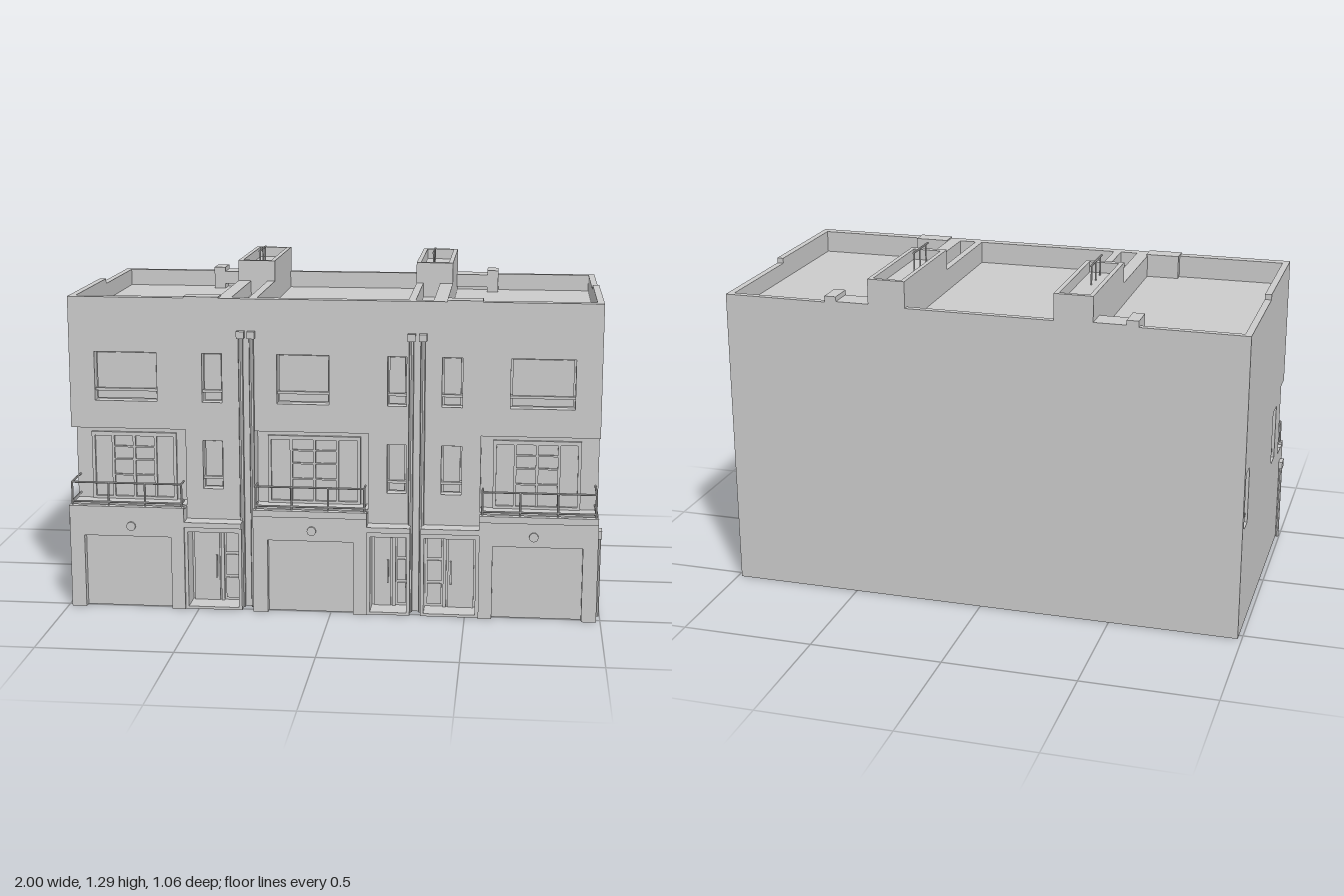
import * as THREE from 'three';

const material = new THREE.MeshStandardMaterial({ color: 0xcccccc, flatShading: true });

export function createModel() {
  const model = new THREE.Group();

  const add = (name, geometry) => {
    const mesh = new THREE.Mesh(geometry, material);
    mesh.name = name;
    model.add(mesh);
    return mesh;
  };
  // box from its limits on each axis
  const box = (name, x0, x1, y0, y1, z0, z1) =>
    add(name, new THREE.BoxGeometry(x1 - x0, y1 - y0, z1 - z0)
      .translate((x0 + x1) / 2, (y0 + y1) / 2, (z0 + z1) / 2));
  const outline = (points) => points.map(([x, y]) => new THREE.Vector2(x, y));
  const rect = (x0, x1, y0, y1) => [[x0, y0], [x1, y0], [x1, y1], [x0, y1]];
  // extruded wall with openings
  const wall = (points, holes, depth) => {
    const shape = new THREE.Shape(outline(points));
    for (const hole of holes) shape.holes.push(new THREE.Path(outline(hole)));
    return new THREE.ExtrudeGeometry(shape, { depth, bevelEnabled: false });
  };
  // round bar between two points
  const bar = (name, a, b, r = 0.004) => {
    const from = new THREE.Vector3(...a), to = new THREE.Vector3(...b);
    const mesh = add(name, new THREE.CylinderGeometry(r, r, from.distanceTo(to), 8));
    mesh.position.copy(from).lerp(to, 0.5);
    mesh.quaternion.setFromUnitVectors(new THREE.Vector3(0, 1, 0), to.sub(from).normalize());
  };

  const bays = [[-0.985, -0.55], [-0.29, 0.135], [0.55, 0.985]];
  const porches = [[-0.55, -0.335], [0.135, 0.295], [0.335, 0.55]];

  // solid core of the terrace, with the flat roof deck on top
  box('groundFloorCore', -0.96, 0.96, 0, 0.39, -0.505, 0.42);
  box('middleFloorCore', -0.96, 0.96, 0.39, 0.68, -0.505, 0.38);
  box('topFloorCore', -0.96, 0.96, 0.68, 1.09, -0.505, 0.42);
  box('leftPier', -0.55, -0.29, 0.39, 0.68, 0.38, 0.42);
  box('rightPier', 0.135, 0.55, 0.39, 0.68, 0.38, 0.42);
  box('backWall', -0.96, 0.96, 0, 1.155, -0.53, -0.505);

  // front facade with balcony recesses, porches and windows cut out
  const wideWindows = [[-0.89, -0.655], [-0.205, -0.01], [0.655, 0.89]];
  const narrowWindows = [[-0.485, -0.41], [0.205, 0.275], [0.405, 0.48]];
  const windows = [
    ...[...wideWindows, ...narrowWindows].map((w) => [...w, 0.785, 0.97]),
    ...narrowWindows.map((w) => [...w, 0.455, 0.64]),
  ];
  const inPorch = ([x0, x1]) => rect(x0 + 0.012, x1 - 0.012, 0.01, 0.3);
  const facade = [
    [-0.96, 0], [0.96, 0], [0.96, 0.39], [0.55, 0.39], [0.55, 0.68], [0.96, 0.68],
    [0.96, 1.175], [-0.96, 1.175], [-0.96, 0.68], [-0.55, 0.68], [-0.55, 0.39], [-0.96, 0.39],
  ];
  add('frontFacade', wall(facade, [
    rect(-0.29, 0.135, 0.39, 0.68),
    ...windows.map((w) => rect(...w)),
    ...porches.map(inPorch),
  ], 0.04)).position.z = 0.42;
  for (const [x0, x1, y0, y1] of windows) {
    box('windowPane', x0 + 0.006, x1 - 0.006, y0 + 0.045, y1 - 0.006, 0.415, 0.435);
    box('windowSill', x0, x1, y0 + 0.035, y0 + 0.045, 0.415, 0.445);
    box('windowLowerPane', x0 + 0.006, x1 - 0.006, y0 + 0.006, y0 + 0.035, 0.415, 0.435);
  }

  // side walls: notched at the balconies, stepped along the parapet
  const sideProfile = [
    [-0.53, 0], [0.46, 0], [0.46, 0.39], [0.38, 0.39], [0.38, 0.68], [0.46, 0.68],
    [0.46, 1.175], [-0.05, 1.175], [-0.05, 1.155], [-0.53, 1.155],
  ];
  const sideWindows = [[0.175, 0.26], [-0.5, -0.425]];
  for (const side of [-1, 1]) {
    const geometry = wall(sideProfile, sideWindows.map(([a, b]) => rect(a, b, 0.42, 0.635)), 0.025);
    add('sideWall', geometry.rotateY(-Math.PI / 2)).position.x = side > 0 ? 0.985 : -0.96;
    for (const [a, b] of sideWindows) {
      const c = side * 0.965;
      box('sideWindowPane', c - 0.006, c + 0.006, 0.455, 0.628, a + 0.006, b - 0.006);
      box('sideWindowSill', c - 0.012, c + 0.012, 0.445, 0.455, a, b);
    }
    // short downpipe with its hopper
    bar('sideDownpipe', [side * 0.991, 0, 0.447], [side * 0.991, 0.31, 0.447], 0.007);
    box('sideHopper', side * 0.99 - 0.01, side * 0.99 + 0.01, 0.305, 0.335, 0.43, 0.475);
  }

  // garage bays, each carrying a balcony
  const garages = [[-0.93, -0.6], [-0.235, 0.085], [0.6, 0.93]];
  const balconyDoors = [[-0.925, -0.6], [-0.25, 0.1], [0.595, 0.92]];
  bays.forEach(([x0, x1], i) => {
    const [g0, g1] = garages[i];
    add('garageSurround', wall([
      [x0, 0], [g0, 0], [g0, 0.28], [g1, 0.28], [g1, 0], [x1, 0], [x1, 0.385], [x0, 0.385],
    ], [], 0.065)).position.z = 0.46;
    box('garageDoor', g0, g1, 0, 0.28, 0.46, 0.495);
    box('balconyEdge', x0, x1, 0.37, 0.395, 0.505, 0.53);
    const mid = [-0.75, -0.07, 0.75][i];
    const lamp = add('garageLamp', new THREE.CylinderGeometry(0.017, 0.017, 0.012, 16).rotateX(Math.PI / 2));
    lamp.position.set(mid, 0.32, 0.528);

    // balcony railing
    const a = x0 + 0.01, b = x1 - 0.01, z = 0.512;
    for (const y of [0.408, 0.482]) {
      bar('balconyRail', [a, y, z], [b, y, z]);
      if (i !== 2) bar('balconySideRail', [a, y, z], [a, y, i ? 0.46 : 0.38]);
      if (i !== 0) bar('balconySideRail', [b, y, z], [b, y, i === 2 ? 0.38 : 0.46]);
      if (i !== 1) {
        const inner = i ? a : b;
        bar('balconySideRail', [inner, y, z], [inner, y, 0.46]);
      }
    }
    for (let k = 0; k < 4; k++) {
      const x = a + (b - a) * k / 3;
      bar('balconyPost', [x, 0.385, z], [x, 0.482, z]);
    }

    // glazed balcony doors with frame and glazing bars
    const [d0, d1] = balconyDoors[i];
    add('balconyDoorFrame', wall(rect(d0, d1, 0.39, 0.65),
      [rect(d0 + 0.012, d1 - 0.012, 0.4, 0.635)], 0.012)).position.z = 0.38;
    for (const t of [0.25, 0.5, 0.75]) {
      const x = d0 + (d1 - d0) * t;
      box('balconyDoorMullion', x - 0.005, x + 0.005, 0.4, 0.635, 0.375, 0.39);
    }
    for (const y of [0.48, 0.54, 0.59]) {
      box('balconyDoorBar', d0 + (d1 - d0) * 0.25, d0 + (d1 - d0) * 0.75, y, y + 0.006, 0.375, 0.387);
    }
  });

  // entrance porches with front door and sidelight
  porches.forEach((p, i) => {
    const [x0, x1] = p;
    add('porchFrame', wall(rect(x0, x1, 0, 0.335), [inPorch(p)], 0.055)).position.z = 0.46;
    box('porchCanopy', x0, x1, 0.318, 0.338, 0.46, 0.522);
    const split = x0 + (x1 - x0) * (i === 2 ? 0.4 : 0.6);
    box('doorPost', split - 0.006, split + 0.006, 0.01, 0.3, 0.41, 0.432);
    const [d0, d1, s0, s1] = i === 2
      ? [split + 0.012, x1 - 0.02, x0 + 0.02, split - 0.012]
      : [x0 + 0.02, split - 0.012, split + 0.012, x1 - 0.02];
    box('frontDoor', d0, d1, 0.01, 0.285, 0.41, 0.428);
    box('doorHandle', split + (i === 2 ? 0.02 : -0.026), split + (i === 2 ? 0.026 : -0.02), 0.1, 0.19, 0.42, 0.436);
    for (const y of [0.02, 0.11, 0.2]) box('sidelightPane', s0, s1, y, y + 0.08, 0.41, 0.426);
  });

  // tall paired downpipes at the party walls
  for (const x of [-0.337, -0.297, 0.293, 0.335]) {
    bar('downpipe', [x, 0, 0.468], [x, 1.035, 0.468], 0.009);
    box('hopper', x - 0.014, x + 0.014, 1.03, 1.057, 0.455, 0.486);
  }

  // party walls with a gutter trough between, and roof boxes behind
  for (const [a, b, c, d, railX] of [
    [-0.425, -0.375, -0.31, -0.28, -0.347],
    [0.278, 0.305, 0.37, 0.42, 0.34],
  ]) {
    box('partyWall', a, b, 1.08, 1.175, -0.04, 0.42);
    box('partyWall', c, d, 1.08, 1.175, -0.04, 0.42);
    box('gutterTrough', b, c, 1.08, 1.12, -0.04, 0.42);
    box('roofBox', a, d, 1.08, 1.215, -0.53, -0.04);
    add('roofBoxRim', wall(rect(a, d, 0.04, 0.53), [rect(a + 0.017, d - 0.017, 0.065, 0.512)], 0.04)
      .rotateX(-Math.PI / 2)).position.y = 1.215;
    bar('roofRail', [railX, 1.288, -0.08], [railX, 1.288, -0.25]);
    for (const z of [-0.105, -0.175, -0.24]) bar('roofRailPost', [railX, 1.21, z], [railX, 1.288, z], 0.003);
  }

  // low rear ducts and front coping beside the party walls
  for (const s of [-1, 1]) {
    const span = (name, a, b, ...rest) => box(name, Math.min(s * a, s * b), Math.max(s * a, s * b), ...rest);
    span('ductEnd', 0.545, 0.59, 1.08, 1.178, -0.53, -0.43);
    span('ductRun', 0.42, 0.545, 1.11, 1.16, -0.53, -0.435);
    span('frontCoping', 0.42, 0.55, 1.08, 1.18, 0.39, 0.46);
  }

  return model;
}
